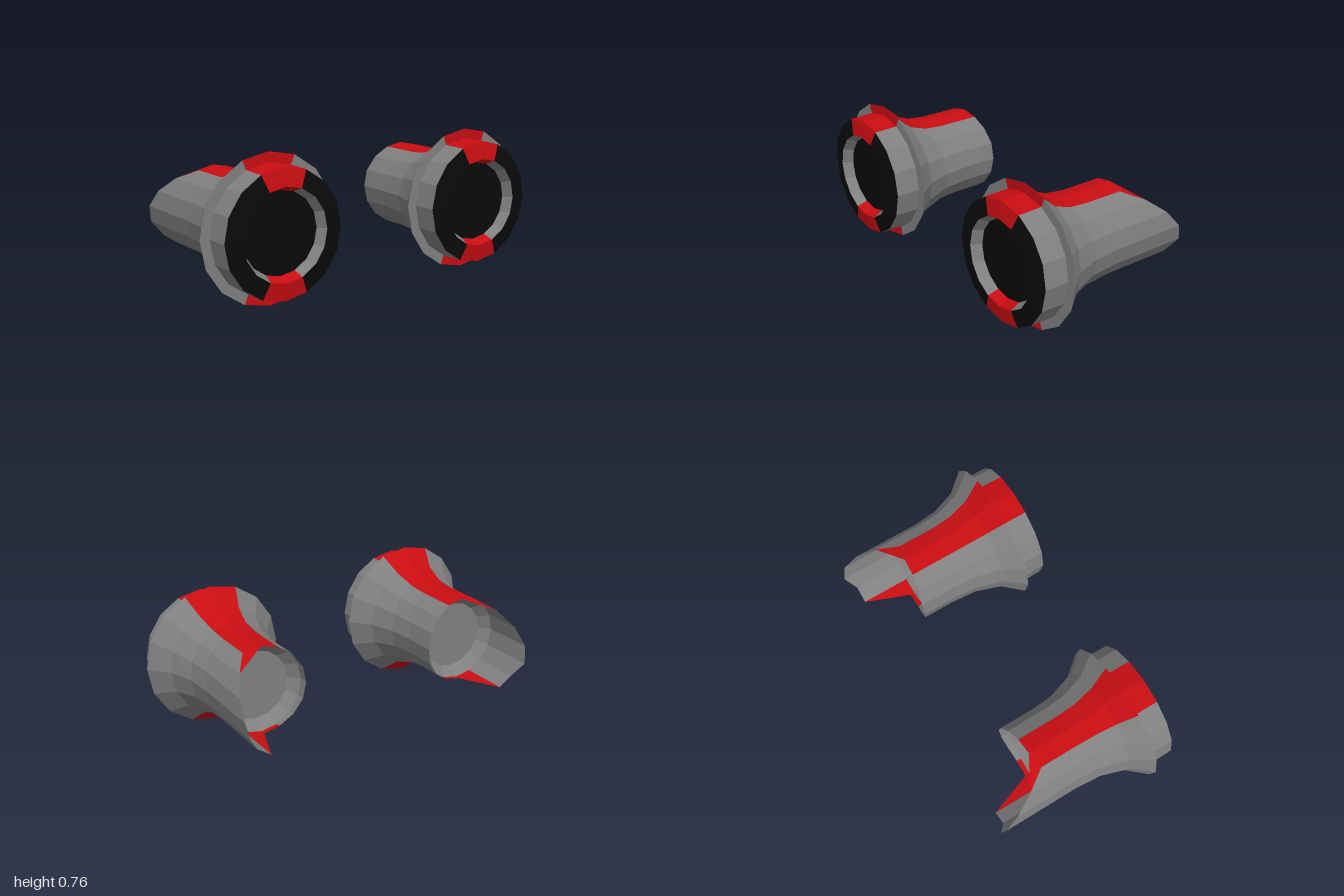
import * as THREE from 'three';

const SIDES = 16, CX = 0.619, CY = 0.382;
const COLORS = { grey: 0x808080, red: 0xc80d12, black: 0x0a0a0a };
const materials = {};
for (const key in COLORS) {
  materials[key] = new THREE.MeshStandardMaterial({
    color: COLORS[key], flatShading: true, side: THREE.DoubleSide,
  });
}

// Back edge of the shell: depth at each angle, from the top round the outer side
const TAIL = [-0.195, -0.178, -0.29, -0.39, -0.465, -0.49, -0.445, -0.445,
  -0.2, -0.2, -0.21, -0.22, -0.225, -0.225, -0.213, -0.2];

// The stripe covers two facets at the top and two at the bottom
const isStripe = (k) => [0, 7, 8, 15].includes(k);

// Ring of points round the pod axis; depth slides from zTop to zLow down the sides
function ring(s, r, zTop, zLow = zTop) {
  return Array.from({ length: SIDES }, (_, k) => {
    const a = (k / SIDES) * Math.PI * 2;
    const z = zTop + (zLow - zTop) * Math.min(1, 1 - Math.cos(a));
    return [s * (CX + r * Math.sin(a)), CY + r * Math.cos(a), z];
  });
}

function addTriangle(list, s, a, b, c) {
  list.push(...a, ...(s > 0 ? b : c), ...(s > 0 ? c : b));
}

function addMesh(group, name, positions, color) {
  if (!positions.length) return;
  const geo = new THREE.BufferGeometry();
  geo.setAttribute('position', new THREE.Float32BufferAttribute(positions, 3));
  geo.computeVertexNormals();
  const mesh = new THREE.Mesh(geo, materials[color]);
  mesh.name = name;
  group.add(mesh);
}

// Joins rings into facets, with the stripe facets in their own mesh
function addLoft(group, name, s, rings, color, striped = true, extra = []) {
  const base = [], stripe = [];
  for (let i = 0; i < rings.length - 1; i++) {
    for (let k = 0; k < SIDES; k++) {
      const n = (k + 1) % SIDES, p = rings[i], q = rings[i + 1];
      const list = striped && isStripe(k) ? stripe : base;
      addTriangle(list, s, p[k], p[n], q[n]);
      addTriangle(list, s, p[k], q[n], q[k]);
    }
  }
  for (const [a, b, c] of extra) addTriangle(stripe, s, a, b, c);
  addMesh(group, name, base, color);
  addMesh(group, name + 'Stripe', stripe, 'red');
}

function createPod(s) {
  const pod = new THREE.Group();
  pod.name = s > 0 ? 'leftPod' : 'rightPod';

  // Front: recessed disc, inner rim, face ring and collar
  addLoft(pod, 'frontDisc', s, [ring(s, 0.001, 0.44), ring(s, 0.21, 0.44)], 'black', false);
  addLoft(pod, 'innerRim', s, [ring(s, 0.21, 0.44), ring(s, 0.235, 0.495)], 'grey');
  addLoft(pod, 'faceRing', s, [ring(s, 0.235, 0.495), ring(s, 0.326, 0.48)], 'black');
  addLoft(pod, 'collar', s, [ring(s, 0.326, 0.48), ring(s, 0.329, 0.348)], 'grey');

  // Flared shell with a slanted tail that reaches back on the outer side
  const tail = ring(s, 0.236, 0).map(([x, y], k) => [x, y, TAIL[k]]);
  addLoft(pod, 'shell', s, [
    ring(s, 0.329, 0.348),
    ring(s, 0.381, 0.348),
    ring(s, 0.293, 0.25, 0.24),
    ring(s, 0.248, 0.14, 0.1),
    ring(s, 0.236, 0.04, -0.055),
    tail,
  ], 'grey', true, [[tail[0], tail[1], tail[2]]]);

  // Rear recess inside the shell
  addLoft(pod, 'rearRecess', s, [
    ring(s, 0.235, -0.175),
    ring(s, 0.185, -0.12),
    ring(s, 0.001, -0.12),
  ], 'grey', false);
  return pod;
}

export function createModel() {
  const model = new THREE.Group();
  model.name = 'podPair';
  for (const s of [1, -1]) model.add(createPod(s));
  return model;
}
